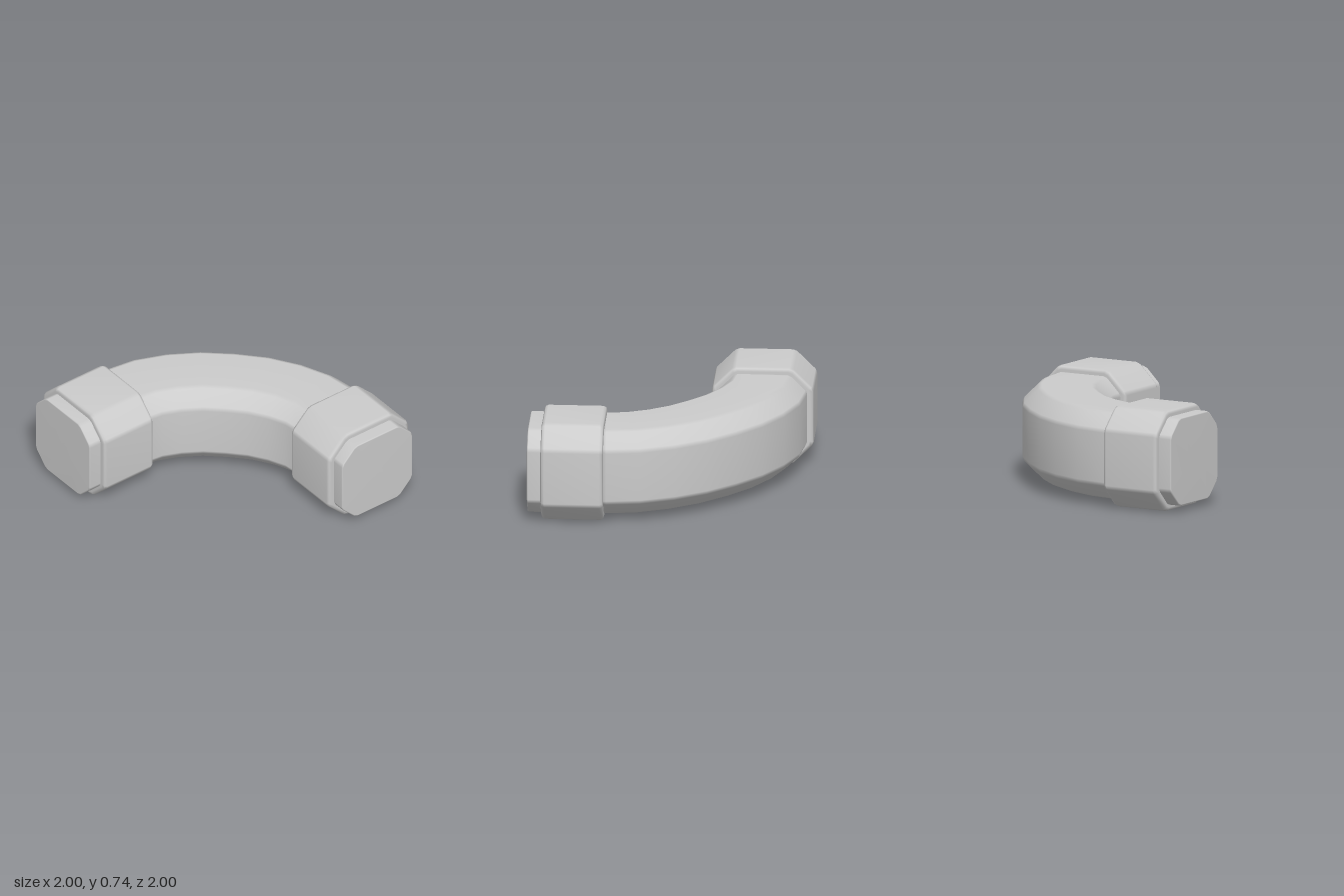
import * as THREE from 'three';

const HEIGHT = 0.372; // height of the pipe axis
const OFFSET = -0.63; // sideways position of each straight end

// Chamfered square outline with softened corners, as [u, v] points
function outline(half, chamfer, soft = 0.018) {
  const s = half - chamfer;
  const corners = [[half, -s], [half, s], [s, half], [-s, half], [-half, s], [-half, -s], [-s, -half], [s, -half]]
    .map(([u, v]) => new THREE.Vector2(u, v));
  return corners.flatMap((p, i) => [corners[(i + 7) % 8], corners[(i + 1) % 8]]
    .map((q) => p.clone().add(q.clone().sub(p).setLength(soft))));
}

// Skin between sections { x, z, angle, half, chamfer }, closed at both ends
function loft(name, sections, material) {
  const pos = [], index = [];
  const rings = sections.map((s) => outline(s.half, s.chamfer));
  const n = rings[0].length;
  sections.forEach(({ x, z, angle }, i) => {
    for (const p of rings[i]) pos.push(x + p.x * Math.cos(angle), p.y, z + p.x * Math.sin(angle));
  });
  const last = (sections.length - 1) * n;
  const startCentre = pos.length / 3, endCentre = startCentre + 1;
  for (const s of [sections[0], sections[sections.length - 1]]) pos.push(s.x, 0, s.z);
  for (let j = 0; j < n; j++) {
    const k = (j + 1) % n;
    for (let a = 0; a < last; a += n) {
      index.push(a + j, a + k, a + n + k, a + j, a + n + k, a + n + j);
    }
    index.push(startCentre, k, j, endCentre, last + j, last + k);
  }
  const geometry = new THREE.BufferGeometry();
  geometry.setAttribute('position', new THREE.Float32BufferAttribute(pos, 3));
  geometry.setIndex(index);
  geometry.computeVertexNormals();
  const mesh = new THREE.Mesh(geometry, material);
  mesh.name = name;
  return mesh;
}

// Straight block along z with rounded end edges
function block(name, z0, z1, half, chamfer, bevel, material) {
  const steps = [[0, 1], [0.3, 0.3], [1, 0]]; // [along, inset] in bevels
  const ring = (z, inset) => ({ x: 0, z, angle: 0, half: half - inset * bevel, chamfer: chamfer - inset * bevel * 0.58 });
  const sections = [
    ...steps.map(([d, inset]) => ring(z0 + d * bevel, inset)),
    ...steps.slice().reverse().map(([d, inset]) => ring(z1 - d * bevel, inset)),
  ];
  return loft(name, sections, material);
}

export function createModel() {
  const group = new THREE.Group();
  group.name = 'pipeElbow';
  const material = new THREE.MeshStandardMaterial({ color: 0xcccccc });

  // Curved pipe: half of the bend [x, z, degrees], mirrored across the diagonal
  const half = [[OFFSET, 0.5, 0], [OFFSET, 0.44, 3], [-0.605, 0.26, 14.5], [-0.5275, 0.07, 25.6], [-0.415, -0.11, 35.6]];
  const path = [
    ...half.map(([x, z, a]) => [z, x, 90 - a]),
    [-0.27, -0.27, 45],
    ...half.slice().reverse(),
  ];
  const bend = loft('bend', path.map(([x, z, a]) => ({
    x, z, angle: THREE.MathUtils.degToRad(a), half: 0.323, chamfer: 0.123,
  })), material);
  bend.position.y = HEIGHT;
  group.add(bend);

  // Collar and end plug on each opening
  for (const [name, x, z, turn] of [['frontFitting', OFFSET, 0, 0], ['sideFitting', 0, OFFSET, Math.PI / 2]]) {
    const fitting = new THREE.Group();
    fitting.name = name;
    fitting.add(block('collar', 0.445, 0.9, 0.37, 0.157, 0.028, material));
    fitting.add(block('endPlug', 0.85, 1, 0.323, 0.123, 0.01, material));
    fitting.position.set(x, HEIGHT, z);
    fitting.rotation.y = turn;
    group.add(fitting);
  }
  return group;
}
